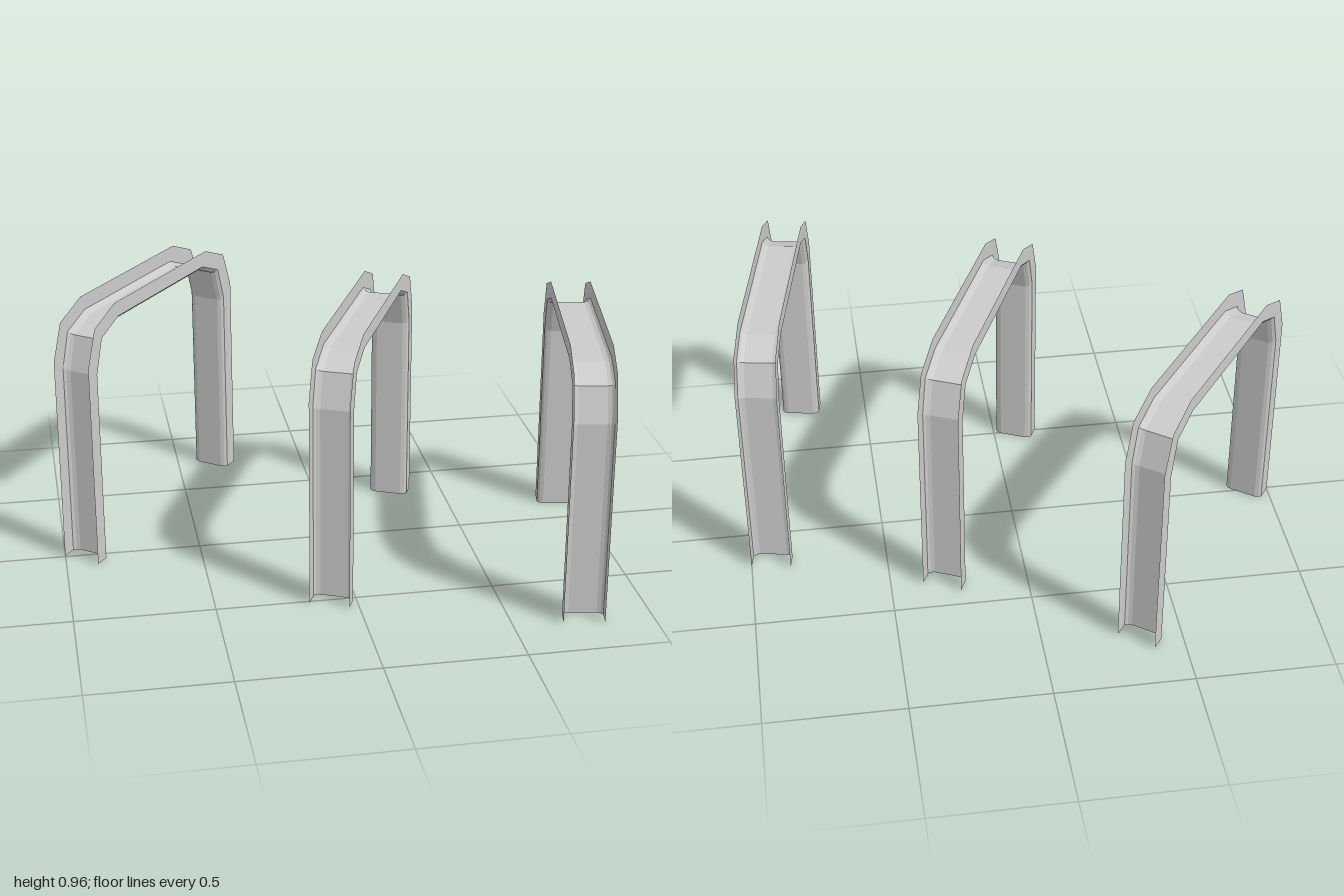
import * as THREE from 'three';

// Half of the arch path, from foot to crown: [z, y] on the inner web and on the outer rim
const inner = [[0.443, 0], [0.443, 0.72], [0.405, 0.845], [0.295, 0.89]];
const outer = [[0.512, 0], [0.512, 0.77], [0.46, 0.905], [0.325, 0.96]];
// Channel section: [x, depth from web (0) to rim (1)]
const half = [[0.05, 0], [0.064, 0.07], [0.0725, 0.2], [0.0725, 1]];

const mirrored = (pts) => [...pts, ...pts.slice().reverse().map(([a, b]) => [-a, b])];

// Open U-channel swept along the arch, open side facing outward
function channelGeometry() {
  const a = mirrored(inner), b = mirrored(outer), section = mirrored(half.slice().reverse());
  const positions = [], index = [], n = section.length;
  a.forEach((p, i) => {
    for (const [x, t] of section) {
      positions.push(x, THREE.MathUtils.lerp(p[1], b[i][1], t), THREE.MathUtils.lerp(p[0], b[i][0], t));
    }
  });
  for (let i = 0; i < a.length - 1; i++) {
    for (let j = 0; j < n - 1; j++) {
      const k = i * n + j;
      index.push(k, k + 1, k + n, k + 1, k + n + 1, k + n);
    }
  }
  const geometry = new THREE.BufferGeometry();
  geometry.setAttribute('position', new THREE.Float32BufferAttribute(positions, 3));
  geometry.setIndex(index);
  const flat = geometry.toNonIndexed();
  flat.computeVertexNormals();
  return flat;
}

export function createModel() {
  const group = new THREE.Group();
  group.name = 'channelArches';
  const material = new THREE.MeshStandardMaterial({ color: 0xcccccc, flatShading: true, side: THREE.DoubleSide });
  const geometry = channelGeometry();
  // Three arches fanned out: x, z and turn in degrees
  const places = [['rightArch', -0.637, -0.373, 36.7], ['middleArch', 0.107, 0.072, 24], ['leftArch', 0.84, 0.312, 10]];
  for (const [name, x, z, turn] of places) {
    const arch = new THREE.Mesh(geometry, material);
    arch.name = name;
    arch.position.set(x, 0, z);
    arch.rotation.y = -THREE.MathUtils.degToRad(turn);
    group.add(arch);
  }
  return group;
}
